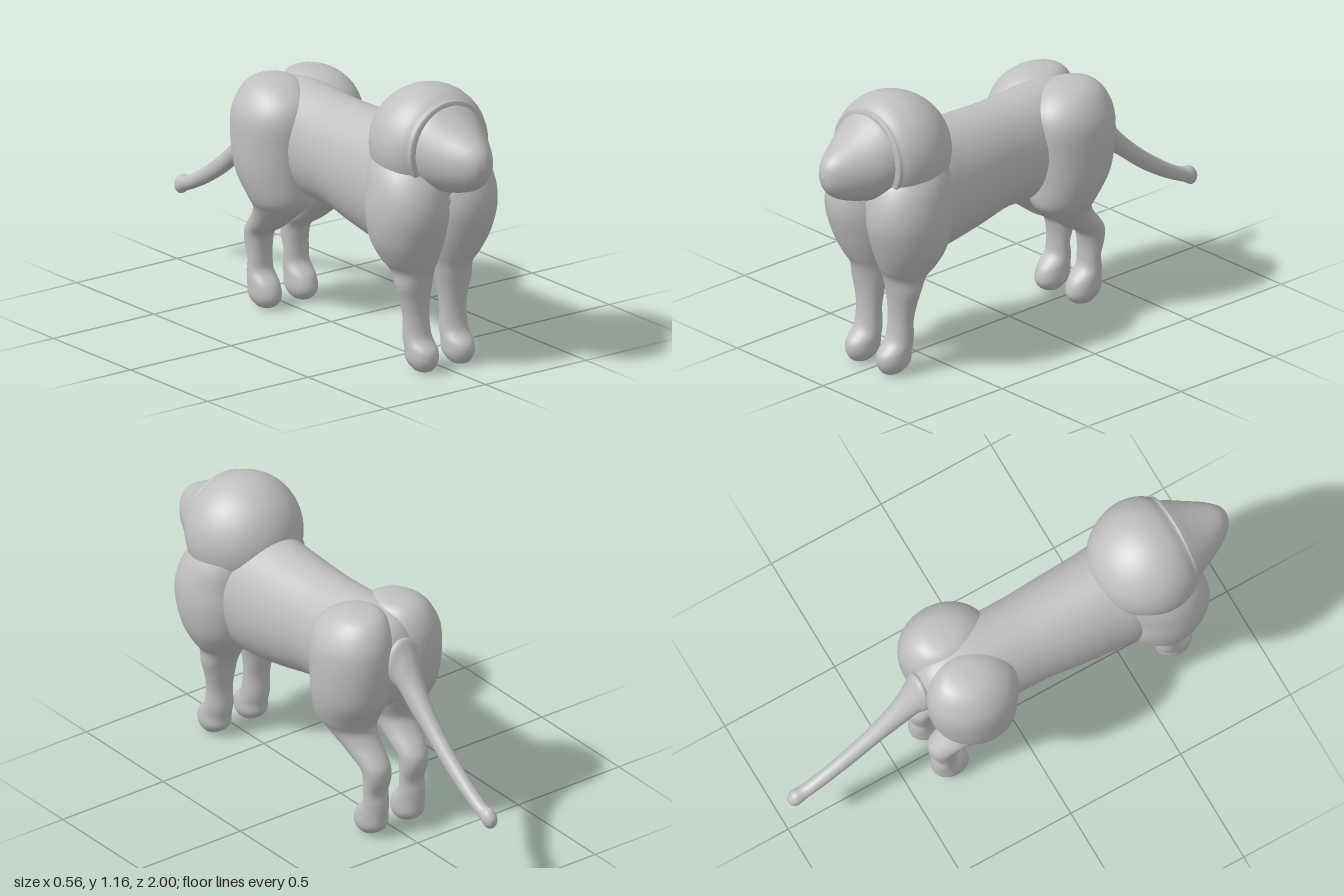
import * as THREE from 'three';

const SIDES = 40;
const STEPS = 5;

// Smooth closed skin through elliptical sections [position, c1, c2, r1, r2].
// Along 'z' the ellipse axes are x and y; along 'y' they are z and x.
function loft(sections, axis) {
  const spline = new THREE.CubicInterpolant(sections.map((s, i) => i), sections.flat(), 5);
  const rings = (sections.length - 1) * STEPS;
  const pos = [];
  const index = [];
  for (let i = 0; i <= rings; i++) {
    const [p, c1, c2, r1, r2] = spline.evaluate(i / STEPS);
    for (let j = 0; j < SIDES; j++) {
      const t = (j / SIDES) * Math.PI * 2;
      const a = c1 + Math.max(r1, 0) * Math.cos(t);
      const b = c2 + Math.max(r2, 0) * Math.sin(t);
      if (axis === 'z') pos.push(a, b, p);
      else pos.push(b, p, a);
      if (i < rings) {
        const k = (j + 1) % SIDES;
        const u = i * SIDES;
        const v = u + SIDES;
        index.push(u + j, u + k, v + j, u + k, v + k, v + j);
      }
    }
  }
  const geo = new THREE.BufferGeometry();
  geo.setAttribute('position', new THREE.Float32BufferAttribute(pos, 3));
  geo.setIndex(index);
  geo.computeVertexNormals();
  return geo;
}

export function createModel() {
  const group = new THREE.Group();
  const clay = new THREE.MeshStandardMaterial({ color: 0xc0c0c0 });
  clay.name = 'grey clay';

  const add = (name, geo) => {
    const mesh = new THREE.Mesh(geo, clay);
    mesh.name = name;
    group.add(mesh);
  };

  // Barrel of the body, from rump to neck
  add('torso', loft([
    [-0.41, 0, 0.76, 0, 0],
    [-0.4, 0, 0.76, 0.08, 0.1],
    [-0.34, 0, 0.75, 0.13, 0.19],
    [-0.2, 0, 0.74, 0.17, 0.228],
    [0, 0, 0.728, 0.176, 0.228],
    [0.1, 0, 0.725, 0.178, 0.227],
    [0.25, 0, 0.71, 0.19, 0.245],
    [0.4, 0, 0.7, 0.198, 0.262],
    [0.5, 0, 0.7, 0.205, 0.268],
    [0.6, 0, 0.7, 0.19, 0.25],
    [0.72, 0, 0.7, 0.12, 0.16],
    [0.77, 0, 0.7, 0, 0],
  ], 'z'));

  // Round skull, cut flat where the snout begins
  add('cranium', loft([
    [0.395, 0, 0.915, 0, 0],
    [0.403, 0, 0.915, 0.062, 0.062],
    [0.427, 0, 0.915, 0.12, 0.12],
    [0.465, 0, 0.915, 0.17, 0.17],
    [0.52, 0, 0.915, 0.21, 0.21],
    [0.58, 0, 0.915, 0.234, 0.234],
    [0.645, 0, 0.915, 0.24, 0.24],
    [0.71, 0, 0.918, 0.225, 0.222],
    [0.75, 0, 0.92, 0.2, 0.195],
    [0.77, 0, 0.922, 0.172, 0.176],
    [0.771, 0, 0.922, 0, 0],
  ], 'z'));

  // Tapered snout with a rounded tip
  add('snout', loft([
    [0.74, 0, 0.925, 0.178, 0.181],
    [0.77, 0, 0.921, 0.172, 0.176],
    [0.82, 0, 0.907, 0.153, 0.153],
    [0.87, 0, 0.897, 0.126, 0.131],
    [0.92, 0, 0.892, 0.097, 0.108],
    [0.96, 0, 0.892, 0.067, 0.083],
    [0.988, 0, 0.895, 0.036, 0.048],
    [1, 0, 0.897, 0, 0],
  ], 'z'));

  // Legs rise from the paw into the big shoulder or hip: [y, z, x, rz, rx]
  const foreleg = [
    [0, 0.715, 0.09, 0, 0],
    [0.008, 0.715, 0.09, 0.04, 0.035],
    [0.045, 0.705, 0.09, 0.074, 0.059],
    [0.09, 0.7, 0.09, 0.075, 0.061],
    [0.14, 0.674, 0.091, 0.056, 0.059],
    [0.22, 0.668, 0.092, 0.047, 0.057],
    [0.29, 0.663, 0.095, 0.054, 0.066],
    [0.35, 0.66, 0.098, 0.065, 0.08],
    [0.41, 0.65, 0.095, 0.088, 0.09],
    [0.46, 0.645, 0.105, 0.12, 0.115],
    [0.54, 0.642, 0.115, 0.157, 0.145],
    [0.65, 0.647, 0.12, 0.182, 0.158],
    [0.75, 0.645, 0.12, 0.175, 0.15],
    [0.84, 0.62, 0.112, 0.155, 0.13],
    [0.92, 0.58, 0.09, 0.11, 0.09],
    [0.96, 0.55, 0.07, 0, 0],
  ];
  const hindLeg = [
    [0, -0.305, 0.09, 0, 0],
    [0.008, -0.305, 0.09, 0.04, 0.035],
    [0.045, -0.312, 0.09, 0.076, 0.059],
    [0.1, -0.322, 0.09, 0.072, 0.06],
    [0.15, -0.344, 0.09, 0.048, 0.056],
    [0.2, -0.345, 0.09, 0.041, 0.055],
    [0.26, -0.353, 0.09, 0.053, 0.058],
    [0.31, -0.345, 0.092, 0.062, 0.062],
    [0.35, -0.3, 0.095, 0.083, 0.07],
    [0.4, -0.245, 0.1, 0.095, 0.082],
    [0.45, -0.2, 0.105, 0.114, 0.1],
    [0.5, -0.19, 0.11, 0.14, 0.125],
    [0.6, -0.215, 0.115, 0.172, 0.15],
    [0.72, -0.225, 0.115, 0.187, 0.16],
    [0.83, -0.225, 0.112, 0.19, 0.16],
    [0.9, -0.228, 0.105, 0.17, 0.14],
    [0.95, -0.24, 0.098, 0.125, 0.105],
    [0.975, -0.25, 0.09, 0.07, 0.06],
    [0.982, -0.255, 0.09, 0, 0],
  ];
  for (const [side, sign] of [['left', 1], ['right', -1]]) {
    const mirror = (rows) => rows.map(([y, z, x, rz, rx]) => [y, z, x * sign, rz, rx]);
    add(`${side}Foreleg`, loft(mirror(foreleg), 'y'));
    add(`${side}HindLeg`, loft(mirror(hindLeg), 'y'));
  }

  // Long drooping tail with a small bulb at its tip
  add('tail', loft([
    [-1, 0, 0.315, 0, 0],
    [-0.994, 0, 0.315, 0.018, 0.022],
    [-0.97, 0, 0.32, 0.031, 0.04],
    [-0.935, 0, 0.332, 0.028, 0.032],
    [-0.88, 0, 0.358, 0.028, 0.033],
    [-0.8, 0, 0.405, 0.029, 0.038],
    [-0.7, 0, 0.475, 0.031, 0.044],
    [-0.6, 0, 0.56, 0.035, 0.051],
    [-0.5, 0, 0.658, 0.046, 0.072],
    [-0.44, 0, 0.74, 0.06, 0.088],
    [-0.4, 0, 0.785, 0.075, 0.1],
    [-0.34, 0, 0.8, 0, 0],
  ], 'z'));

  return group;
}
